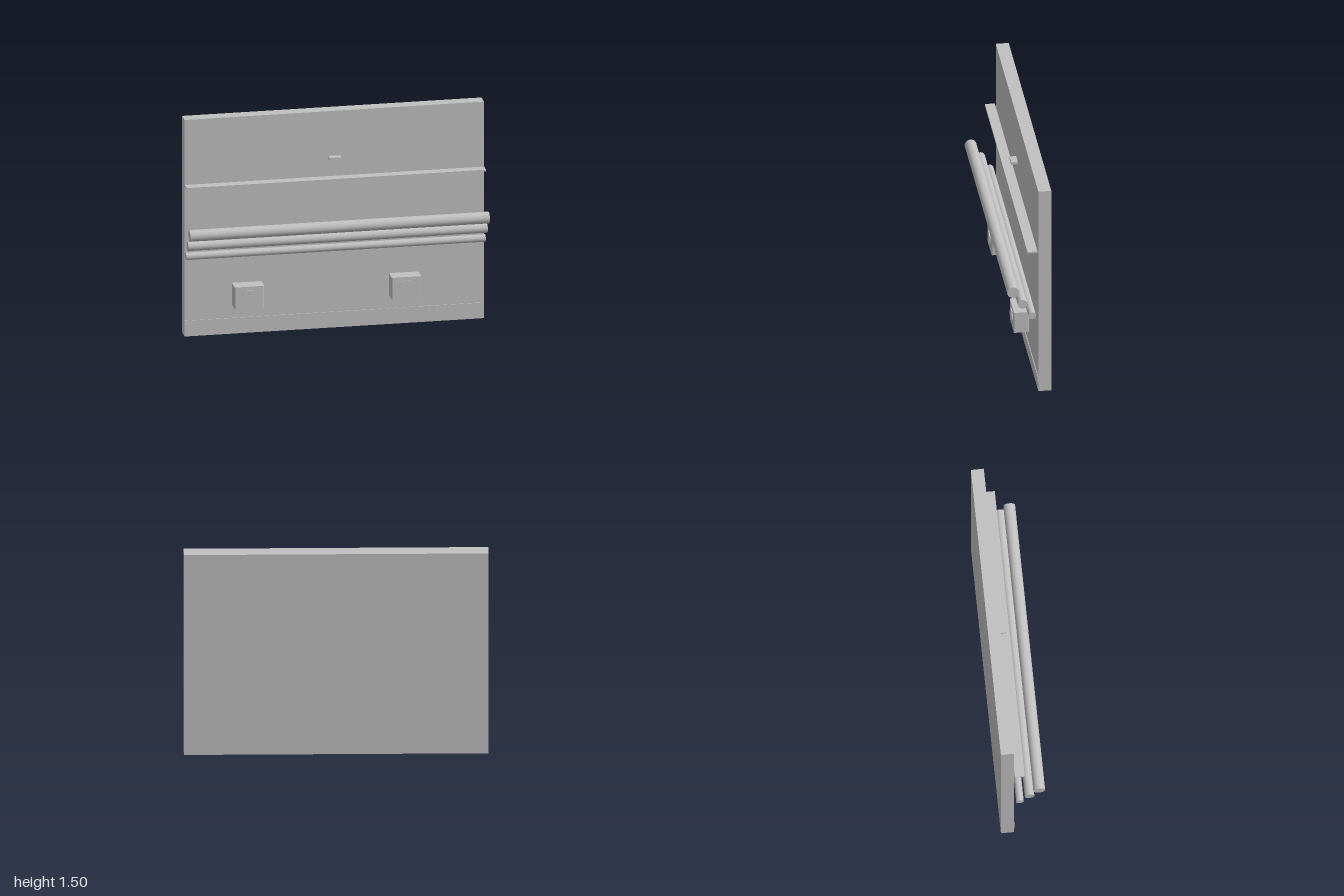
import * as THREE from 'three';

export function createModel() {
  const group = new THREE.Group();
  const grey = new THREE.MeshStandardMaterial({ color: 0xc0c0c0 });
  grey.name = 'plain grey';

  const add = (name, geometry, x, y, z) => {
    const mesh = new THREE.Mesh(geometry, grey);
    mesh.name = name;
    mesh.position.set(x, y, z);
    group.add(mesh);
    return mesh;
  };
  // Box given by its lower and upper bounds
  const slab = (name, [x0, x1], [y0, y1], [z0, z1]) =>
    add(name, new THREE.BoxGeometry(x1 - x0, y1 - y0, z1 - z0),
      (x0 + x1) / 2, (y0 + y1) / 2, (z0 + z1) / 2);

  const wallFront = -0.06;
  slab('wall', [-1, 1], [0, 1.5], [-0.146, wallFront]);
  slab('skirtingStrip', [-1, 1], [0.07, 0.11], [wallFront, -0.055]);
  slab('shelf', [-1, 1], [1.04, 1.052], [-0.054, 0.012]);
  slab('smallBlock', [-0.04, 0.04], [1.172, 1.19], [wallFront, -0.016]);

  // Three stepped horizontal pipes: height, depth, radius
  [[0.753, 0.107, 0.039], [0.66, 0.043, 0.032], [0.569, -0.02, 0.025]].forEach(([y, z, r], i) => {
    const pipe = new THREE.CylinderGeometry(r, r, 2, 32).rotateZ(Math.PI / 2);
    add('pipe' + (i + 1), pipe, 0, y, z);
  });

  // Wall boxes with softened upright corners and a round button
  const w = 0.099, d = 0.05, c = 0.008;
  const outline = new THREE.Shape();
  outline.moveTo(-w + c, -d);
  outline.lineTo(w - c, -d);
  outline.quadraticCurveTo(w, -d, w, -d + c);
  outline.lineTo(w, d - c);
  outline.quadraticCurveTo(w, d, w - c, d);
  outline.lineTo(-w + c, d);
  outline.quadraticCurveTo(-w, d, -w, d - c);
  outline.lineTo(-w, -d + c);
  outline.quadraticCurveTo(-w, -d, -w + c, -d);
  const boxGeometry = new THREE.ExtrudeGeometry(outline, { depth: 0.15, bevelEnabled: false, curveSegments: 4 })
    .rotateX(-Math.PI / 2);
  const buttonGeometry = new THREE.CylinderGeometry(0.052, 0.052, 0.012, 32).rotateX(Math.PI / 2);
  for (const [side, x] of [['right', -0.585], ['left', 0.464]]) {
    add(side + 'WallBox', boxGeometry, x, 0.202, wallFront + d);
    add(side + 'Button', buttonGeometry, x, 0.278, 0.041);
  }
  return group;
}
